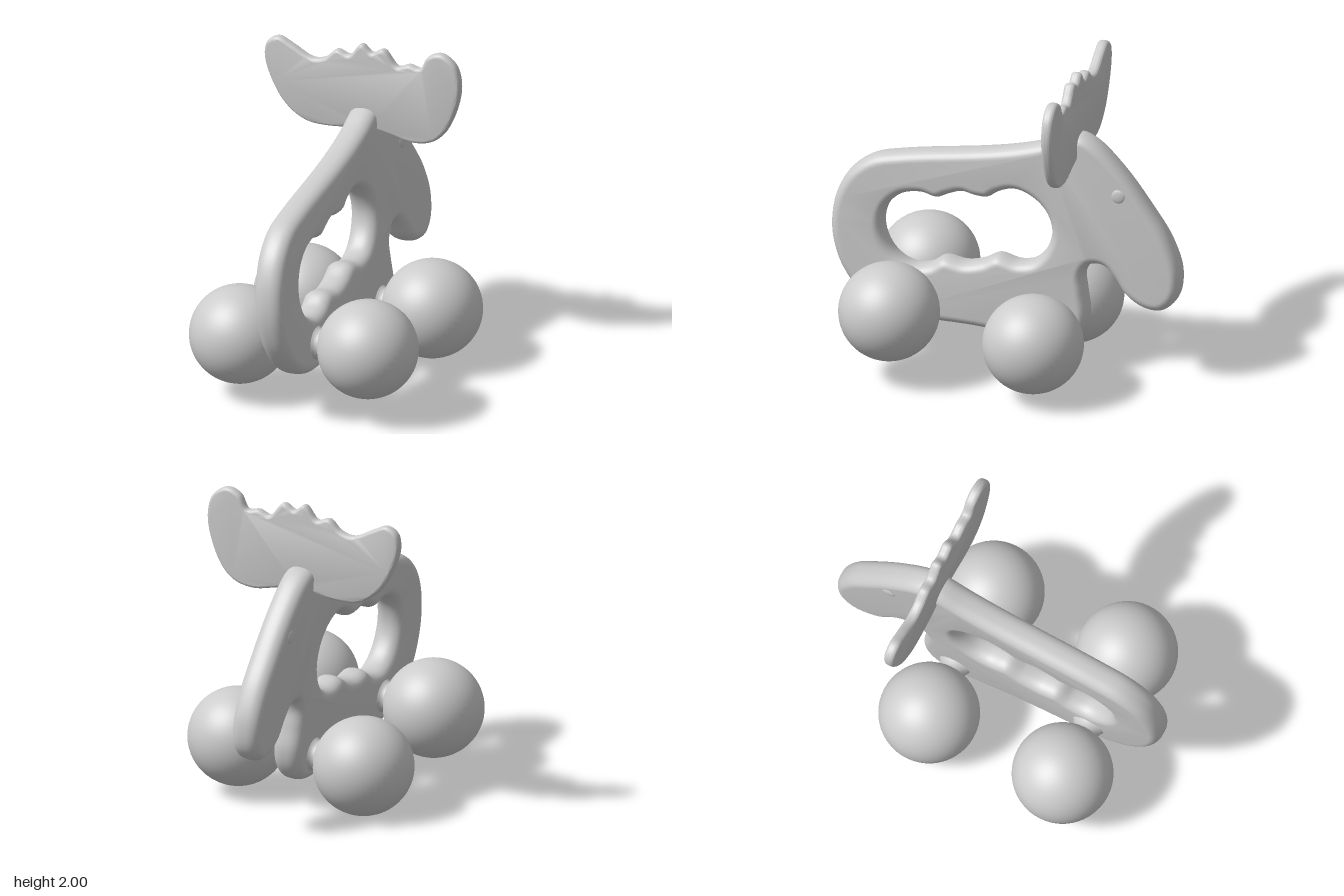
import * as THREE from 'three';
import { toCreasedNormals } from 'three/addons/utils/BufferGeometryUtils.js';

const LEAN = 0.065; // slight sideways lean of the whole toy

// Smooth closed outline through [x, y] points
function outline(points, count) {
  const curve = new THREE.CatmullRomCurve3(points.map(([x, y]) => new THREE.Vector3(x, y, 0)), true);
  return curve.getPoints(count).slice(0, -1).map((p) => new THREE.Vector2(p.x, p.y));
}

// Slab with rounded edges, centred on its own plane; holes run against the outer outline
function roundedSlab(outer, holes, halfThickness, bevel, bevelSize) {
  const shape = new THREE.Shape(outer);
  holes.forEach((h) => shape.holes.push(new THREE.Path(h)));
  const depth = 2 * (halfThickness - bevel);
  const geometry = new THREE.ExtrudeGeometry(shape, {
    depth, steps: 1, bevelEnabled: true, bevelThickness: bevel,
    bevelSize, bevelOffset: -bevelSize, bevelSegments: 7,
  });
  geometry.translate(0, 0, -depth / 2);
  return toCreasedNormals(geometry, 0.9);
}

export function createModel() {
  const material = new THREE.MeshStandardMaterial({ color: 0xcccccc });
  const model = new THREE.Group();
  model.name = 'rollingMooseToy';

  // Toy frame: local +x runs to the nose, local z runs along the axles
  const toy = new THREE.Group();
  toy.name = 'toy';
  toy.rotation.set(-LEAN, Math.atan2(0.775, 0.63), 0, 'YXZ');
  toy.position.set(0.042, 0, 0.034);
  model.add(toy);

  const add = (geometry, name, x = 0, y = 0, z = 0) => {
    const mesh = new THREE.Mesh(geometry, material);
    mesh.name = name;
    mesh.position.set(x, y, z);
    toy.add(mesh);
    return mesh;
  };

  // Body with head, drooping snout and finger-grip opening
  const bodyOutline = outline([
    [-0.985, 0.8], [-0.96, 0.98], [-0.88, 1.14], [-0.74, 1.255], [-0.54, 1.31], [-0.03, 1.395],
    [0.18, 1.44], [0.36, 1.495], [0.5, 1.555], [0.58, 1.572], [0.68, 1.53], [0.86, 1.36],
    [1.04, 1.13], [1.16, 0.95], [1.23, 0.75], [1.21, 0.58], [1.12, 0.49], [1.01, 0.49],
    [0.89, 0.56], [0.81, 0.67], [0.74, 0.735], [0.66, 0.73], [0.62, 0.66], [0.63, 0.55],
    [0.65, 0.4], [0.62, 0.28], [0.54, 0.19], [0.42, 0.16], [0.25, 0.185], [0.0, 0.225],
    [-0.4, 0.235], [-0.6, 0.25], [-0.77, 0.335], [-0.905, 0.5], [-0.965, 0.65],
  ], 240);
  const grip = outline([
    [-0.66, 0.83], [-0.63, 0.95], [-0.54, 1.035], [-0.42, 1.06], [-0.32, 1.04], [-0.24, 1.075],
    [-0.16, 1.1], [-0.08, 1.085], [0.0, 1.085], [0.07, 1.13], [0.17, 1.16], [0.28, 1.125],
    [0.37, 1.04], [0.41, 0.92], [0.38, 0.8], [0.3, 0.71], [0.2, 0.685], [0.07, 0.71],
    [-0.03, 0.66], [-0.14, 0.635], [-0.27, 0.65], [-0.36, 0.595], [-0.47, 0.58], [-0.57, 0.63],
    [-0.635, 0.72],
  ], 180).reverse();
  add(roundedSlab(bodyOutline, [grip], 0.092, 0.08, 0.06), 'body');

  // Antlers: a thin plate set across the head
  const antlerOutline = outline([
    [-0.22, 1.79], [-0.205, 1.88], [-0.15, 1.92], [-0.08, 1.885], [0.03, 1.82], [0.1, 1.84],
    [0.16, 1.905], [0.225, 1.885], [0.29, 1.97], [0.345, 1.925], [0.405, 1.96], [0.48, 1.865],
    [0.54, 1.89], [0.6, 1.88], [0.64, 1.965], [0.71, 2.0], [0.785, 1.94], [0.813, 1.82],
    [0.795, 1.66], [0.73, 1.48], [0.66, 1.405], [0.56, 1.38], [0.43, 1.41], [0.3, 1.43],
    [0.16, 1.395], [0.0, 1.4], [-0.11, 1.49], [-0.185, 1.64],
  ].map(([x, y]) => {
    const s = (x - 0.34) / 0.79 - 0.054 + LEAN * y;
    return [s, y - LEAN * s];
  }), 170);
  add(roundedSlab(antlerOutline, [], 0.034, 0.028, 0.022), 'antlers', 0.54).rotation.y = -Math.PI / 2;

  // Ball wheels with flared necks, and an eye bump on each side
  const neck = new THREE.LatheGeometry(
    [[0.125, 0.07], [0.095, 0.1], [0.085, 0.125], [0.1, 0.15], [0.14, 0.18]]
      .map(([r, y]) => new THREE.Vector2(r, y)), 32);
  for (const side of [-1, 1]) {
    const label = side > 0 ? 'Left' : 'Right';
    for (const [axle, u, y] of [['rear', -0.496, 0.42], ['front', 0.419, 0.328]]) {
      add(new THREE.SphereGeometry(0.31, 48, 32), `${axle}${label}Wheel`, u, y, side * 0.43).scale.y = 0.985;
      add(neck, `${axle}${label}Neck`, u, y).rotation.x = side * Math.PI / 2;
    }
    add(new THREE.SphereGeometry(0.045, 20, 14), `eye${label}`, 0.84, 1.22, side * 0.088).scale.z = 0.3;
  }
  return model;
}
